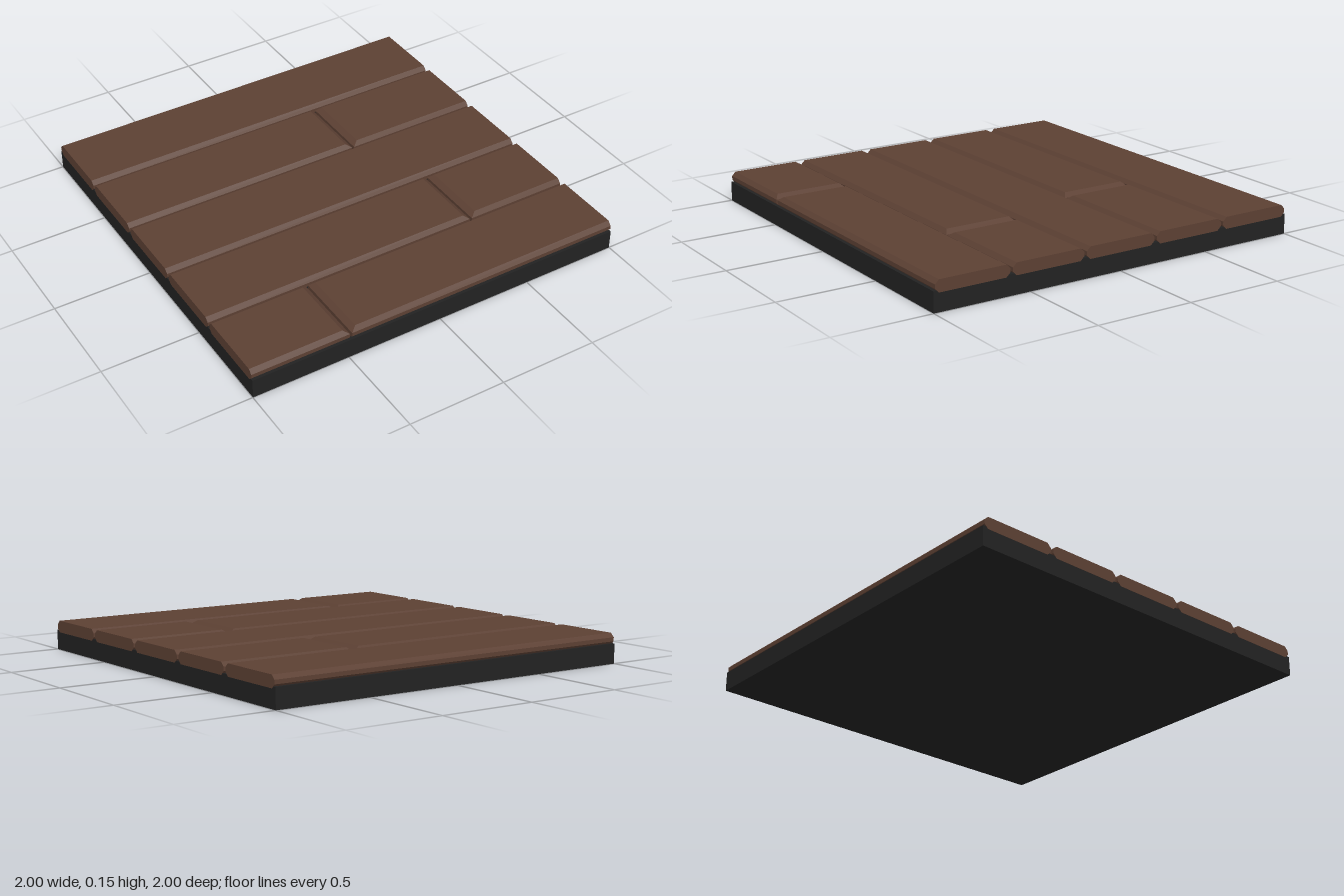
import * as THREE from 'three';
import { mergeVertices } from 'three/addons/utils/BufferGeometryUtils.js';

const BOTTOM = 0.09, TOP = 0.15, BEVEL = 0.02, JOINT_BEVEL = 0.028;

// Plank with an eight-sided section; an end may have its top edge bevelled too
function plankGeometry(x0, x1, z0, z1, bevelStart, bevelEnd) {
  const section = [
    [BOTTOM, z1 - BEVEL], [BOTTOM, z0 + BEVEL], [BOTTOM + BEVEL, z0], [TOP - BEVEL, z0],
    [TOP, z0 + BEVEL], [TOP, z1 - BEVEL], [TOP - BEVEL, z1], [BOTTOM + BEVEL, z1],
  ];
  const ring = (x, inset) => section.map(([y, z]) => [y === TOP ? x + inset : x, y, z]);
  const a = ring(x0, bevelStart ? JOINT_BEVEL : 0);
  const b = ring(x1, bevelEnd ? -JOINT_BEVEL : 0);
  const positions = [];
  const quad = (p, q, r, s) => positions.push(...p, ...q, ...r, ...p, ...r, ...s);

  // Long faces
  for (let i = 0; i < 8; i++) {
    const j = (i + 1) % 8;
    quad(b[i], a[i], a[j], b[j]);
  }
  // End caps, in three bands
  for (const [i, j, k, l] of [[0, 1, 2, 7], [7, 2, 3, 6], [6, 3, 4, 5]]) {
    quad(b[i], b[j], b[k], b[l]);
    quad(a[l], a[k], a[j], a[i]);
  }
  const geometry = new THREE.BufferGeometry();
  geometry.setAttribute('position', new THREE.Float32BufferAttribute(positions, 3));
  geometry.computeVertexNormals();
  return mergeVertices(geometry);
}

export function createModel() {
  const wood = new THREE.MeshStandardMaterial({ color: 0x5c4033 });
  wood.name = 'brown wood';
  const dark = new THREE.MeshStandardMaterial({ color: 0x222222 });
  dark.name = 'dark base';

  const model = new THREE.Group();
  model.name = 'plankFloor';

  // Base slab, a hair shorter than the planks
  const base = new THREE.Mesh(new THREE.BoxGeometry(1.998, 0.1, 2), dark);
  base.name = 'base';
  base.position.y = 0.05;
  model.add(base);

  // Five rows from back to front, some split by a butt joint at the given x
  const joints = [null, 0.28, null, 0.455, -0.485];
  joints.forEach((joint, row) => {
    const z0 = -1 + row * 0.4 + 0.007, z1 = z0 + 0.386;
    const addPlank = (x0, x1, bevelStart, bevelEnd) => {
      const plank = new THREE.Mesh(plankGeometry(x0, x1, z0, z1, bevelStart, bevelEnd), wood);
      plank.name = 'plank';
      model.add(plank);
    };
    if (joint === null) {
      addPlank(-1, 1, false, false);
    } else {
      addPlank(-1, joint - 0.006, false, true);
      addPlank(joint + 0.006, 1, true, false);
    }
  });
  return model;
}
